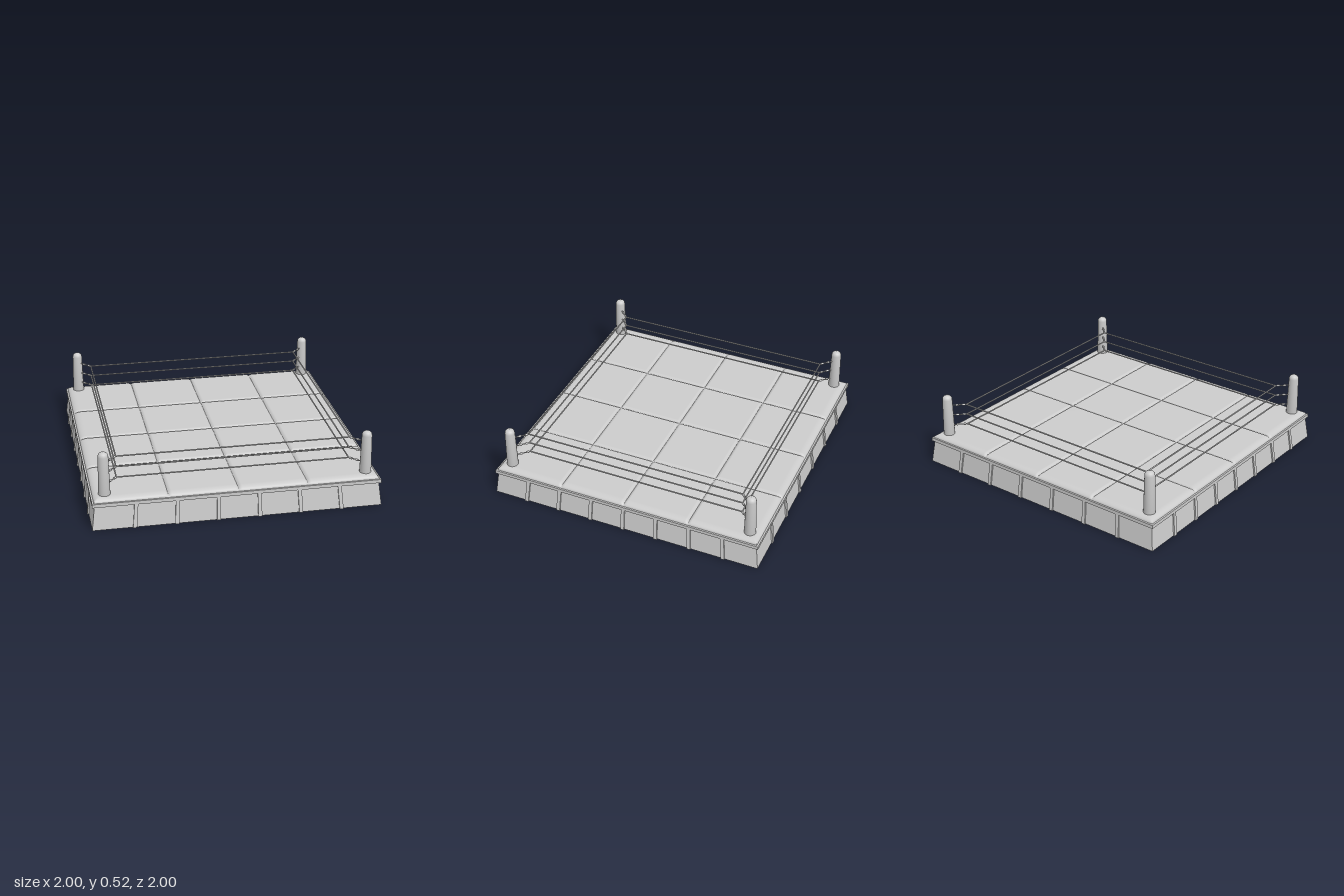
import * as THREE from 'three';

const grey = new THREE.MeshStandardMaterial({ color: 0xcccccc });
const SKIRT_H = 0.165, SKIRT = 0.99, LIP_TOP = 0.19, MAT = 0.972;
const POST = 0.893, ROPE = 0.8;

function add(parent, name, geometry) {
  const mesh = new THREE.Mesh(geometry, grey);
  mesh.name = name;
  parent.add(mesh);
  return mesh;
}

// Box standing on y = 0 whose sides lean inward with height
function leaningBox(w, d, x, z) {
  const g = new THREE.BoxGeometry(w, SKIRT_H, d).translate(x, SKIRT_H / 2, z);
  const p = g.attributes.position;
  for (let i = 0; i < p.count; i++) {
    const s = 1 - 0.021 * p.getY(i) / SKIRT_H;
    p.setX(i, p.getX(i) * s);
    p.setZ(i, p.getZ(i) * s);
  }
  g.computeVertexNormals();
  return g;
}

// Cylinder between two points
function rod(parent, name, a, b, r, sides = 8) {
  const dir = new THREE.Vector3().subVectors(b, a);
  const mesh = add(parent, name, new THREE.CylinderGeometry(r, r, dir.length(), sides));
  mesh.position.addVectors(a, b).multiplyScalar(0.5);
  mesh.quaternion.setFromUnitVectors(new THREE.Vector3(0, 1, 0), dir.normalize());
}

// Padded canvas: rounded rim, shallow grooves between 4 x 4 pads
function matGeometry() {
  const c = [];
  for (const g of [-0.475, 0, 0.475])
    for (const d of [-0.024, -0.016, -0.009, -0.004, 0, 0.004, 0.009, 0.016, 0.024]) c.push(g + d);
  for (const s of [-1, 1])
    for (const e of [0.24, 0.7, 0.92, 0.935, 0.948, 0.958, 0.966, 0.97, MAT]) c.push(s * e);
  c.sort((a, b) => a - b);
  const n = c.length;
  const rim = (v) => Math.sqrt(1 - Math.max(0, (Math.abs(v) - 0.92) / (MAT - 0.92)) ** 2);
  const groove = (v) => {
    const d = Math.min(Math.abs(v), Math.abs(Math.abs(v) - 0.475));
    return Math.max(0, 1 - d / 0.024) ** 2;
  };
  const g = new THREE.PlaneGeometry(1, 1, n - 1, n - 1);
  const p = g.attributes.position;
  for (let i = 0; i < p.count; i++) {
    const x = c[i % n], z = c[Math.floor(i / n)];
    const edge = Math.min(rim(x), rim(z));
    const y = LIP_TOP + edge * (0.028 - 0.014 * Math.max(groove(x), groove(z)));
    p.setXYZ(i, x, y, z);
  }
  g.computeVertexNormals();
  return g;
}

export function createModel() {
  const model = new THREE.Group();
  model.name = 'ring';

  // Platform
  add(model, 'skirt', leaningBox(SKIRT * 2, SKIRT * 2, 0, 0));
  add(model, 'lip', new THREE.BoxGeometry(1.968, LIP_TOP - SKIRT_H, 1.968))
    .position.y = (SKIRT_H + LIP_TOP) / 2;
  add(model, 'mat', matGeometry());

  // Straps: six on the front and back, seven on each side
  const straps = new THREE.Group();
  straps.name = 'skirtStraps';
  model.add(straps);
  for (const s of [-1, 1]) {
    for (let i = 0; i < 6; i++)
      add(straps, 'strap', leaningBox(0.026, 0.02, (i - 2.5) * SKIRT * 2 / 7, s * SKIRT));
    for (let i = 0; i < 7; i++)
      add(straps, 'strap', leaningBox(0.02, 0.026, s * SKIRT, (i - 3) * SKIRT / 4));
  }

  // Corner posts with domed tops
  const profile = [[0, 0.2], [0.041, 0.2], [0.035, 0.49], [0.033, 0.502], [0.027, 0.512],
    [0.016, 0.519], [0, 0.522]].map(([r, y]) => new THREE.Vector2(r, y));
  const postGeometry = new THREE.LatheGeometry(profile, 24);
  const corners = [[1, 1], [-1, 1], [-1, -1], [1, -1]];
  for (const [sx, sz] of corners)
    add(model, 'cornerPost', postGeometry).position.set(sx * POST, 0, sz * POST);

  // Three ropes, tied to every post by turnbuckles
  for (const y of [0.285, 0.363, 0.44]) {
    const rope = new THREE.Group();
    rope.name = 'rope';
    model.add(rope);
    corners.forEach(([sx, sz], i) => {
      const [nx, nz] = corners[(i + 1) % 4];
      const at = (r) => new THREE.Vector3(sx * r, y, sz * r);
      rod(rope, 'ropeSide', at(ROPE), new THREE.Vector3(nx * ROPE, y, nz * ROPE), 0.005);
      add(rope, 'ropeCorner', new THREE.SphereGeometry(0.006, 8, 6)).position.copy(at(ROPE));
      rod(rope, 'turnbuckle', at(POST - 0.02), at(ROPE), 0.004);
      rod(rope, 'turnbuckleEnd', at(0.852), at(0.84), 0.008);
      rod(rope, 'turnbuckleEnd', at(0.818), at(0.806), 0.008);
    });
  }
  return model;
}
